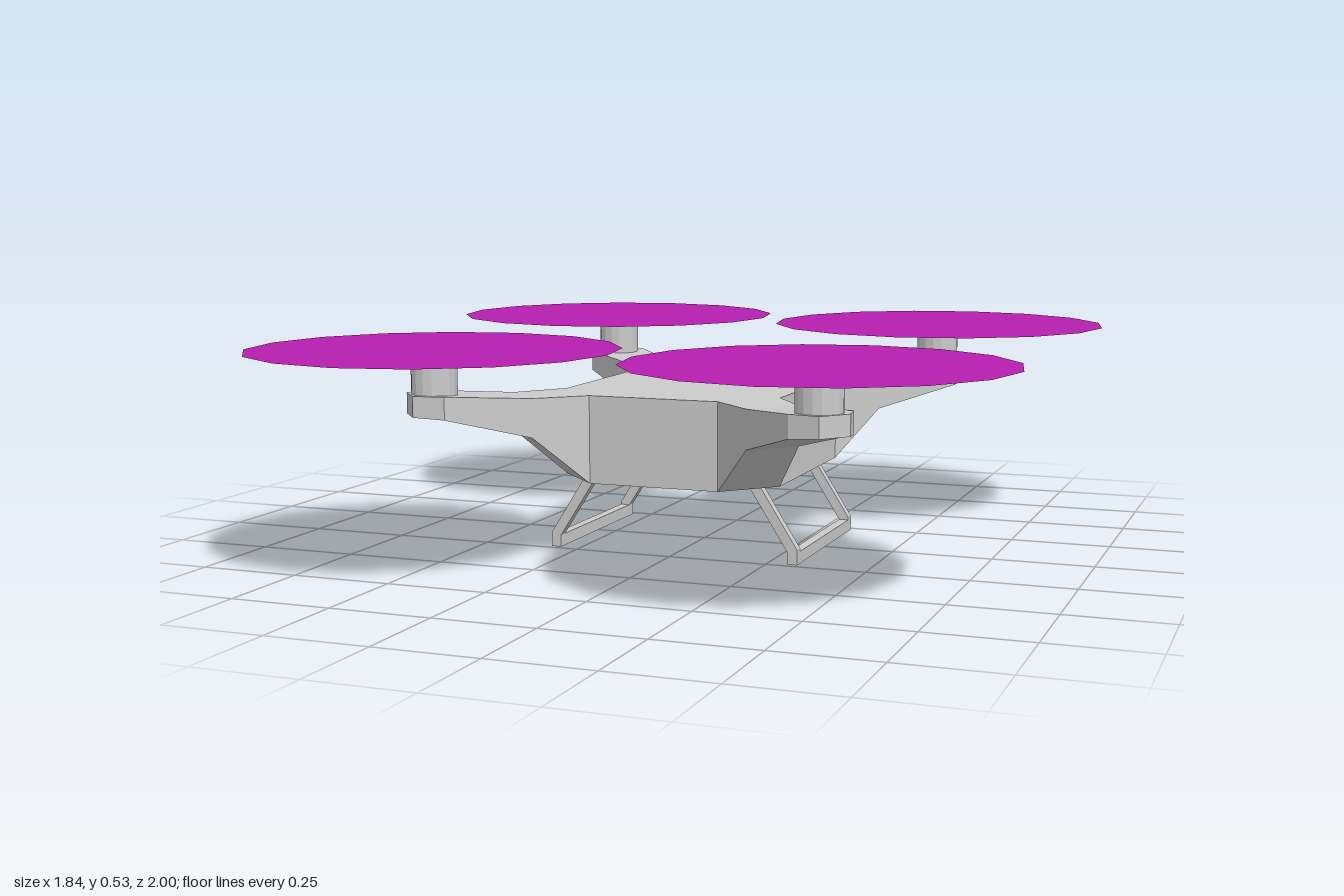
import * as THREE from 'three';

const grey = new THREE.MeshStandardMaterial({ color: 0xcccccc, flatShading: true });
const purple = new THREE.MeshStandardMaterial({ color: 0xb81fb0, side: THREE.DoubleSide });

function add(parent, name, geometry, material = grey) {
  const mesh = new THREE.Mesh(geometry, material);
  mesh.name = name;
  parent.add(mesh);
  return mesh;
}

const polygon = (points) => new THREE.Shape(points.map(([x, y]) => new THREE.Vector2(x, y)));

// Arm cross-sections from body to tip: inner corner x,z, outer corner x,z, bottom y, top y
const ARM = [
  [0.165, 0.355, 0.28, 0.235, 0.19, 0.405],
  [0.27, 0.455, 0.365, 0.355, 0.31, 0.405],
  [0.42, 0.61, 0.537, 0.5, 0.365, 0.42],
  [0.495, 0.625, 0.547, 0.56, 0.37, 0.42],
];

// Loft through the sections, mirrored by sx and sz
function armGeometry(sx, sz) {
  const rings = ARM.map(([ax, az, bx, bz, lo, hi]) =>
    [[ax, hi, az], [bx, hi, bz], [bx, lo, bz], [ax, lo, az]]
      .map(([x, y, z]) => [x * sx, y, z * sz]));
  const out = [];
  const tri = (a, b, c) => out.push(...a, ...(sx * sz > 0 ? [...b, ...c] : [...c, ...b]));
  for (let s = 0; s < rings.length - 1; s++) {
    for (let i = 0; i < 4; i++) {
      const j = (i + 1) % 4, p = rings[s], q = rings[s + 1];
      tri(p[i], q[i], q[j]);
      tri(p[i], q[j], p[j]);
    }
  }
  const tip = rings[rings.length - 1];
  tri(tip[0], tip[2], tip[1]);
  tri(tip[0], tip[3], tip[2]);
  const g = new THREE.BufferGeometry();
  g.setAttribute('position', new THREE.Float32BufferAttribute(out, 3));
  g.computeVertexNormals();
  return g;
}

export function createModel() {
  const model = new THREE.Group();
  model.name = 'quadcopter';

  // Body: box with cut corners
  const body = new THREE.ExtrudeGeometry(polygon([
    [0.28, -0.235], [0.28, 0.235], [0.165, 0.355], [-0.165, 0.355],
    [-0.28, 0.235], [-0.28, -0.235], [-0.165, -0.355], [0.165, -0.355],
  ]), { depth: 0.215, bevelEnabled: false });
  body.rotateX(-Math.PI / 2).translate(0, 0.19, 0);
  add(model, 'body', body);

  // Four arms with motor and rotor disc
  for (const sx of [1, -1]) {
    for (const sz of [1, -1]) {
      const unit = new THREE.Group();
      unit.name = (sz > 0 ? 'front' : 'rear') + (sx > 0 ? 'Left' : 'Right') + 'Arm';
      model.add(unit);
      add(unit, 'arm', armGeometry(sx, sz));
      add(unit, 'motor', new THREE.CylinderGeometry(0.055, 0.055, 0.124, 16))
        .position.set(0.475 * sx, 0.462, 0.555 * sz);
      const disc = new THREE.CircleGeometry(0.445, 16).rotateX(-Math.PI / 2);
      add(unit, 'rotorDisc', disc, purple).position.set(0.475 * sx, 0.526, 0.555 * sz);
    }
  }

  // Landing gear: two bent struts joined by a skid on each side
  for (const sx of [1, -1]) {
    const gear = new THREE.Group();
    gear.name = (sx > 0 ? 'left' : 'right') + 'LandingGear';
    model.add(gear);
    const profile = [[0.3, 0], [0.325, 0], [0.325, 0.037], [0.222, 0.2], [0.192, 0.2], [0.3, 0.03]];
    for (const z of [0.21, -0.235]) {
      const strut = new THREE.ExtrudeGeometry(
        polygon(profile.map(([x, y]) => [x * sx, y])), { depth: 0.025, bevelEnabled: false });
      add(gear, 'strut', strut).position.z = z;
    }
    add(gear, 'skid', new THREE.BoxGeometry(0.025, 0.03, 0.42)).position.set(0.3125 * sx, 0.015, 0);
  }
  return model;
}
